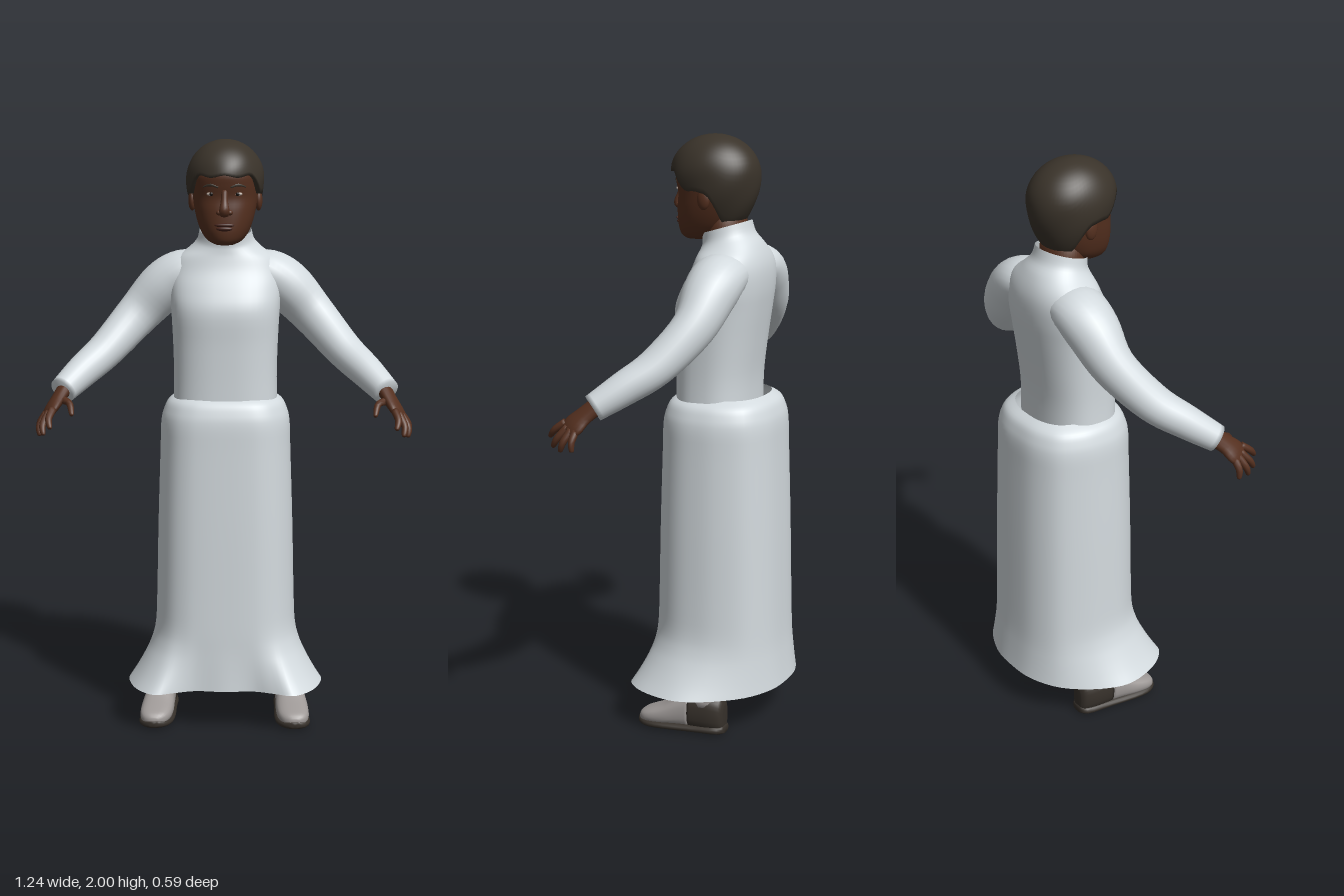
import * as THREE from 'three';

const V = (x, y, z) => new THREE.Vector3(x, y, z);
const mat = (name, color, side = THREE.FrontSide) => {
  const m = new THREE.MeshStandardMaterial({ color, side });
  m.name = name;
  return m;
};

// Skin a list of closed rings; optional caps at the start and the end
function loft(rings, capStart = true, capEnd = true) {
  const n = rings[0].length, pos = [], idx = [];
  rings.forEach(r => r.forEach(p => pos.push(p.x, p.y, p.z)));
  for (let k = 0; k < rings.length - 1; k++) {
    for (let i = 0; i < n; i++) {
      const a = k * n + i, b = k * n + (i + 1) % n;
      idx.push(a, a + n, b, b, a + n, b + n);
    }
  }
  const cap = (k, flip) => {
    const c = rings[k].reduce((s, p) => s.add(p), V(0, 0, 0)).divideScalar(n);
    const ci = pos.length / 3;
    pos.push(c.x, c.y, c.z);
    for (let i = 0; i < n; i++) {
      const a = k * n + i, b = k * n + (i + 1) % n;
      idx.push(ci, flip ? a : b, flip ? b : a);
    }
  };
  if (capStart) cap(0, true);
  if (capEnd) cap(rings.length - 1, false);
  const g = new THREE.BufferGeometry();
  g.setAttribute('position', new THREE.Float32BufferAttribute(pos, 3));
  g.setIndex(idx);
  g.computeVertexNormals();
  return g;
}

// Horizontal superellipse ring; tilt lowers its front and raises its back
function oval(y, hw, zf, zb, e = 2.2, tilt = 0, n = 48) {
  const pw = v => Math.sign(v) * Math.abs(v) ** (2 / e);
  return Array.from({ length: n }, (_, i) => {
    const t = i / n * Math.PI * 2;
    const z = (zf + zb) / 2 + (zf - zb) / 2 * pw(Math.sin(t));
    return V(hw * pw(Math.cos(t)), y - tilt * (z + 0.065), z);
  });
}

// Smooth rows of numbers into more rows with a spline through each column
function smoothRows(rows, steps) {
  return Array.from({ length: steps + 1 }, (_, i) => rows[0].map((_, c) =>
    new THREE.SplineCurve(rows.map((r, k) => new THREE.Vector2(k, r[c]))).getPoint(i / steps).y));
}

// Tapered limb: rows of [x, y, z, radius along ref, radius across]
function limb(rows, ref, steps = 10, n = 12) {
  const s = smoothRows(rows, steps);
  const p = s.map(r => V(r[0], r[1], r[2]));
  return loft(s.map((r, k) => {
    const T = p[Math.min(k + 1, steps)].clone().sub(p[Math.max(k - 1, 0)]).normalize();
    const B = ref.clone().cross(T).normalize(), N = T.clone().cross(B);
    return Array.from({ length: n }, (_, i) => {
      const t = i / n * Math.PI * 2;
      return p[k].clone().addScaledVector(N, r[3] * Math.cos(t)).addScaledVector(B, r[4] * Math.sin(t));
    });
  }));
}

function ball(x, y, z, sx, sy, sz) {
  return new THREE.SphereGeometry(1, 20, 14).scale(sx, sy, sz).translate(x, y, z);
}

// Mirror across x = 0, keeping faces outward
function mirror(geo) {
  const g = geo.clone().scale(-1, 1, 1), a = g.index.array;
  for (let i = 0; i < a.length; i += 3) [a[i], a[i + 1]] = [a[i + 1], a[i]];
  g.computeVertexNormals();
  return g;
}

// Skirt ring from a half outline of [x, z] running front to back
function skirtRing(half, y, scale = 1) {
  const left = half.map(([x, z]) => V(-x, 0, z));
  const right = half.slice(1, -1).reverse().map(([x, z]) => V(x, 0, z));
  const curve = new THREE.CatmullRomCurve3([...left, ...right], true);
  return Array.from({ length: 80 }, (_, i) => {
    const p = curve.getPoint(i / 80);
    return V(p.x * scale, y, -0.0675 + (p.z + 0.0675) * scale);
  });
}

export function createModel() {
  const group = new THREE.Group();
  const robe = mat('robe white', 0xd3dade, THREE.DoubleSide);
  const skin = mat('skin brown', 0x55301f);
  const lip = mat('lip brown', 0x43221a);
  const hairMat = mat('hair dark brown', 0x3a332a, THREE.DoubleSide);
  const shoeGrey = mat('shoe grey', 0x9e9997);
  const shoeDark = mat('shoe dark', 0x37312b);
  const eyeWhite = mat('eye white', 0xb9aca2);
  const pupilMat = mat('pupil dark', 0x17100d);
  const add = (name, geo, m) => {
    const mesh = new THREE.Mesh(geo, m);
    mesh.name = name;
    group.add(mesh);
  };
  const pair = (name, geo, m) => {
    add(name + 'Left', geo, m);
    add(name + 'Right', mirror(geo), m);
  };

  // Torso and collar: y, half width, front z, back z, exponent, tilt
  const torso = [
    [1.08, 0.178, 0.088, -0.168, 2.5, 0], [1.2, 0.175, 0.088, -0.17, 2.5, 0],
    [1.32, 0.178, 0.09, -0.184, 2.5, 0], [1.43, 0.184, 0.093, -0.2, 2.5, 0],
    [1.5, 0.19, 0.068, -0.209, 2.4, 0], [1.56, 0.188, 0.035, -0.21, 2.3, 0],
    [1.605, 0.168, 0.02, -0.202, 2.2, 0], [1.638, 0.122, 0.015, -0.183, 2.1, 0.1],
    [1.665, 0.097, 0.014, -0.158, 2, 0.22], [1.7, 0.088, 0.018, -0.146, 2, 0.3],
  ];
  add('robeTorso', loft(smoothRows(torso, 36).map(r => oval(...r)), false, false), robe);

  // Skirt: straight column that flares over the feet
  const column = [[0, .142], [.08, .139], [.13, .13], [.175, .107], [.208, .07], [.232, .02],
    [.24, -.04], [.232, -.125], [.185, -.22], [.1, -.267], [0, -.277]];
  const hem = [[0, .15], [.1, .142], [.17, .165], [.235, .187], [.29, .14], [.325, .06],
    [.335, -.03], [.3, -.12], [.21, -.23], [.1, -.285], [0, -.295]];
  const skirtRows = smoothRows([
    [0.14, 1, 1], [0.18, 0.72, 1], [0.23, 0.42, 1], [0.28, 0.18, 1], [0.34, 0.03, 1], [0.45, 0, 0.99],
    [0.7, 0, 0.965], [0.95, 0, 0.93], [1.05, 0, 0.915], [1.095, 0, 0.87], [1.125, 0, 0.8], [1.145, 0, 0.66],
  ], 44);
  add('robeSkirt', loft(skirtRows.map(([y, f, s]) => skirtRing(
    column.map(([x, z], i) => [x + (hem[i][0] - x) * f, z + (hem[i][1] - z) * f]), y, s)), false, false), robe);

  // Sleeves
  pair('sleeve', limb([
    [0.07, 1.56, -0.1, 0.085, 0.06], [0.14, 1.55, -0.1, 0.096, 0.08], [0.21, 1.505, -0.098, 0.09, 0.086],
    [0.3, 1.41, -0.083, 0.068, 0.074], [0.4, 1.3, -0.005, 0.064, 0.062],
    [0.475, 1.235, 0.075, 0.055, 0.055], [0.537, 1.178, 0.15, 0.045, 0.045],
  ], V(0.3, 0, -1), 30, 24), robe);

  // Hands: flat palm, four fanned fingers and a thumb
  const across = V(-0.4, 0.2, 0.85).normalize();
  pair('palm', limb([
    [0.525, 1.19, 0.135, 0.034, 0.025], [0.548, 1.155, 0.175, 0.036, 0.021],
    [0.568, 1.125, 0.202, 0.045, 0.018], [0.579, 1.106, 0.218, 0.038, 0.012],
  ], across, 10, 16), skin);
  const fingers = [
    ['indexFinger', [.558, 1.13, .237], [.568, 1.105, .27], [.562, 1.08, .292]],
    ['middleFinger', [.572, 1.118, .222], [.59, 1.083, .25], [.587, 1.055, .268]],
    ['ringFinger', [.582, 1.112, .205], [.604, 1.075, .222], [.603, 1.047, .233]],
    ['littleFinger', [.585, 1.11, .187], [.606, 1.08, .19], [.61, 1.052, .188]],
    ['thumb', [.535, 1.155, .185], [.505, 1.148, .22], [.495, 1.118, .252]],
  ];
  for (const [name, a, b, c] of fingers) {
    const tip = c.map((v, i) => v + (v - b[i]) * 0.15);
    pair(name, limb([[...a, .013, .013], [...b, .0115, .0115], [...c, .008, .008], [...tip, .002, .002]],
      across, 10, 10), skin);
  }

  // Neck and head
  add('neck', loft([oval(1.6, .07, 0, -.13, 2), oval(1.68, .076, .008, -.132, 2), oval(1.76, .078, .005, -.125, 2)]), skin);
  const head = [
    [1.655, .028, .082, .01, 2], [1.668, .056, .097, -.04, 2.1], [1.695, .078, .104, -.085, 2.2],
    [1.73, .092, .105, -.11, 2.3], [1.77, .102, .104, -.13, 2.3], [1.81, .108, .1, -.14, 2.3],
    [1.85, .111, .108, -.15, 2.3], [1.89, .111, .11, -.15, 2.2], [1.94, .092, .08, -.125, 2],
  ];
  add('head', loft(smoothRows(head, 32).map(r => oval(...r))), skin);

  // Face
  add('nose', limb([[0, 1.835, .098, .01, .008], [0, 1.8, .106, .012, .012],
    [0, 1.77, .116, .017, .014], [0, 1.753, .108, .014, .008]], V(1, 0, 0), 12, 14), skin);
  pair('nostril', ball(.017, 1.763, .105, .011, .009, .011), skin);
  add('upperLip', ball(0, 1.722, .105, .033, .007, .009), lip);
  add('lowerLip', ball(0, 1.71, .104, .027, .008, .01), lip);
  pair('eye', ball(.043, 1.823, .091, .016, .0065, .007), eyeWhite);
  pair('pupil', ball(.043, 1.823, .0955, .0065, .0062, .004), pupilMat);
  pair('eyebrow', limb([[.02, 1.845, .104, .004, .003], [.045, 1.853, .1, .005, .003],
    [.07, 1.846, .086, .002, .002]], V(0, 1, 0), 8, 8), hairMat);
  pair('ear', ball(.111, 1.798, -.03, .013, .035, .022).rotateX(0), skin);

  // Hair: dome with a fringe, sideburns and a longer back
  const ss = THREE.MathUtils.smoothstep;
  const hairRing = (w, inset) => Array.from({ length: 64 }, (_, i) => {
    const t = i / 64 * Math.PI * 2, s = Math.sin(t);
    const edge = 1.715 + 0.105 * ss(s, -0.6, -0.1) + 0.06 * ss(s, 0.3, 0.75) + 0.004 * Math.sin(t * 9);
    const y = 2 - (2 - edge) * w;
    const up = (y - 1.87) / 0.13, down = (1.87 - y) / 0.17;
    const lump = 1 + 0.012 * Math.sin(t * 5 + y * 40) * w;
    const R = (up > 0 ? Math.sqrt(1 - up * up) : 1 - 0.42 * down * down) * inset * lump;
    return V(0.13 * R * Math.cos(t), y, -0.022 + 0.153 * R * s);
  });
  const hairRings = [hairRing(1, 0.82)];
  for (let k = 18; k >= 0; k--) hairRings.push(hairRing(Math.max(0.001, (k / 18) ** 1.7), 1));
  add('hair', loft(hairRings, false, true), hairMat);

  // Shoes: grey front, dark heel, dark sole, ankle; rows of z, half width, bottom, top
  const shoePart = rows => loft(smoothRows(rows, 14).map(([z, hw, y0, y1]) =>
    Array.from({ length: 24 }, (_, i) => {
      const t = i / 24 * Math.PI * 2, c = Math.cos(t), s = Math.sin(t);
      const pw = v => Math.sign(v) * Math.abs(v) ** 0.8;
      return V(0.228 + 0.1 * z + hw * pw(c), (y0 + y1) / 2 - (y1 - y0) / 2 * pw(s), z);
    })));
  pair('shoeFront', shoePart([[-.045, .049, .012, .138], [0, .052, .012, .118], [.05, .056, .012, .088],
    [.1, .053, .012, .068], [.13, .038, .014, .055], [.143, .014, .02, .04]]), shoeGrey);
  pair('shoeHeel', shoePart([[-.16, .018, .02, .1], [-.15, .036, .01, .125], [-.12, .046, .008, .135],
    [-.08, .049, .008, .14], [-.043, .05, .01, .139]]), shoeDark);
  pair('shoeSole', shoePart([[-.162, .022, .004, .03], [-.14, .044, 0, .034], [-.06, .05, 0, .032],
    [.04, .06, 0, .032], [.1, .057, 0, .032], [.135, .038, .004, .032], [.147, .014, .012, .03]]), shoeDark);
  pair('ankle', limb([[.22, .1, -.085, .046, .05], [.218, .16, -.088, .046, .05],
    [.214, .22, -.09, .045, .048]], V(1, 0, 0), 6, 20), shoeGrey);

  return group;
}
